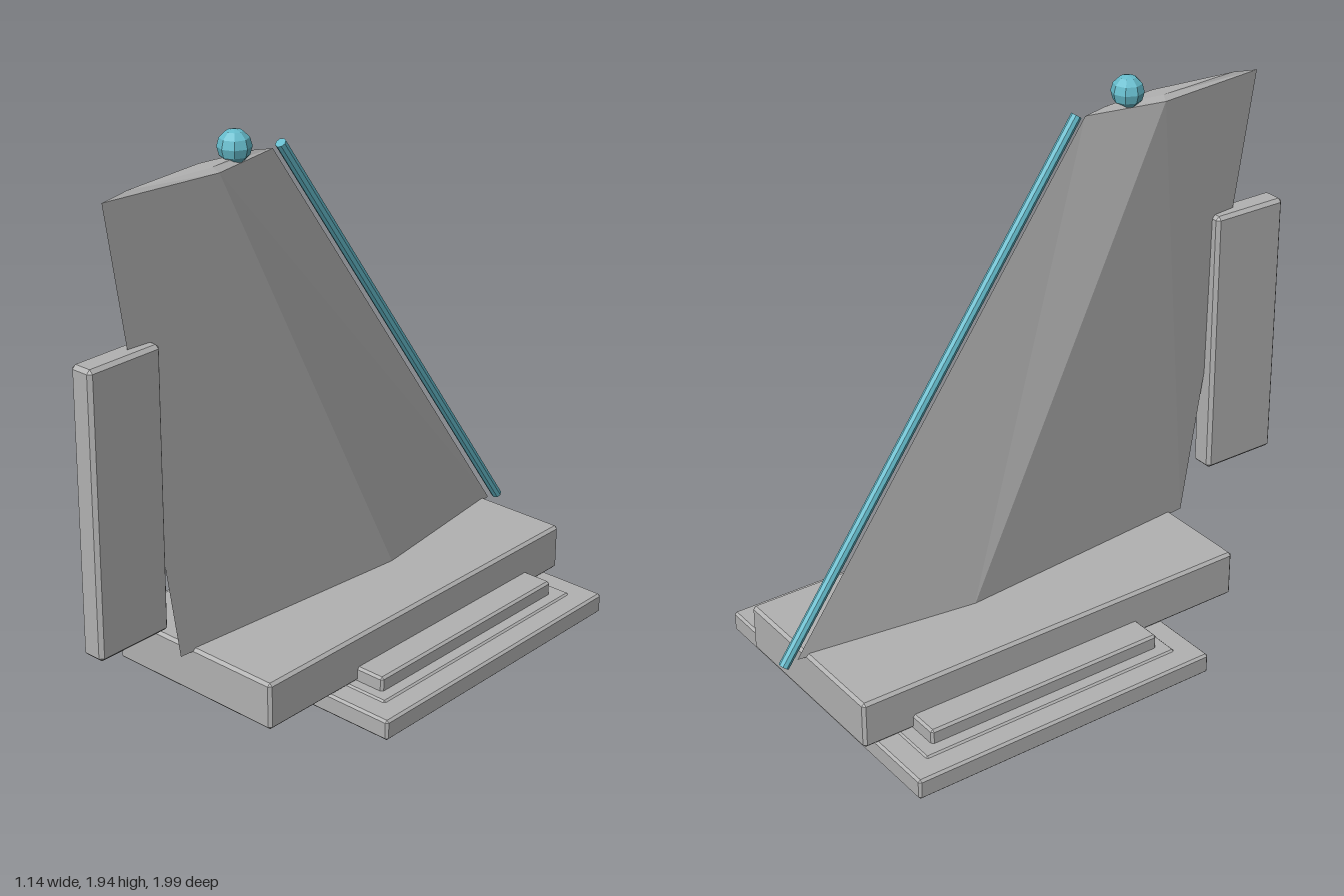
import * as THREE from 'three';
import { ConvexGeometry } from 'three/addons/geometries/ConvexGeometry.js';

const grey = new THREE.MeshStandardMaterial({ color: 0xb2b2b2 });
grey.name = 'grey metal';
const cyan = new THREE.MeshStandardMaterial({ color: 0x66bccc });
cyan.name = 'cyan glow';

// Box between two corners with narrow chamfered edges
function chamferBox(min, max, c) {
  const points = [];
  const mid = min.map((v, i) => (v + max[i]) / 2);
  const half = min.map((v, i) => (max[i] - v) / 2);
  for (const sx of [-1, 1]) for (const sy of [-1, 1]) for (const sz of [-1, 1]) {
    const s = [sx, sy, sz];
    for (let full = 0; full < 3; full++) {
      points.push(new THREE.Vector3(...s.map((sign, i) =>
        mid[i] + sign * (half[i] - (i === full ? 0 : c)))));
    }
  }
  return new ConvexGeometry(points);
}

// Diamond-section blade lofted through [y, leadZ, trailZ, halfWidth] sections
function bladeGeometry(sections) {
  const rings = sections.map(([y, lead, trail, w]) => {
    const ridge = lead + 0.4 * (trail - lead);
    return [[0, y, lead], [w, y, ridge], [0, y, trail], [-w, y, ridge]];
  });
  const pos = [];
  const quad = (a, b, c, d) => pos.push(...a, ...b, ...c, ...a, ...c, ...d);
  for (let i = 0; i < rings.length - 1; i++) {
    for (let j = 0; j < 4; j++) {
      const k = (j + 1) % 4;
      quad(rings[i][j], rings[i + 1][j], rings[i + 1][k], rings[i][k]);
    }
  }
  const top = rings[rings.length - 1], bottom = rings[0];
  quad(top[0], top[3], top[2], top[1]);
  quad(bottom[0], bottom[1], bottom[2], bottom[3]);
  const g = new THREE.BufferGeometry();
  g.setAttribute('position', new THREE.Float32BufferAttribute(pos, 3));
  g.computeVertexNormals();
  return g;
}

export function createModel() {
  const group = new THREE.Group();
  const add = (name, geometry, material = grey) => {
    const mesh = new THREE.Mesh(geometry, material);
    mesh.name = name;
    group.add(mesh);
    return mesh;
  };

  // Stepped mounting base
  add('basePlate', chamferBox([-0.57, 0.04, -0.85], [0.57, 0.112, 0.29], 0.008));
  add('basePanel', chamferBox([-0.49, 0.032, -0.77], [0.49, 0.118, 0.21], 0.006));
  add('baseStep', chamferBox([-0.445, 0.1, -0.72], [0.445, 0.167, 0.17], 0.008));
  add('rootBlock', chamferBox([-0.34, 0.115, -0.9], [0.34, 0.28, 0.58], 0.01));

  // Four short bolts underneath
  for (const x of [-0.343, 0.343]) for (const z of [0.07, -0.615]) {
    add('bolt', new THREE.CylinderGeometry(0.042, 0.042, 0.05, 12)).position.set(x, 0.025, z);
  }

  // Swept fin with a bevelled tip
  add('fin', bladeGeometry([
    [0.27, -0.93, 0.63, 0.08],
    [1.843, 0.19, 0.89, 0.05],
    [1.857, 0.27, 0.79, 0.028],
  ]));

  // Rudder on the trailing edge
  add('rudder', chamferBox([-0.042, 0.42, 0.715], [0.042, 1.375, 1], 0.012));

  // Light strip along the leading edge
  const low = new THREE.Vector3(0, 0.265, -0.98);
  const high = new THREE.Vector3(0, 1.853, 0.156);
  const along = high.clone().sub(low);
  const strip = add('leadingStrip',
    new THREE.CylinderGeometry(0.018, 0.018, along.length(), 8).toNonIndexed(), cyan);
  strip.geometry.computeVertexNormals();
  strip.position.copy(low).add(high).multiplyScalar(0.5);
  strip.quaternion.setFromUnitVectors(new THREE.Vector3(0, 1, 0), along.normalize());

  // Faceted beacon on the tip
  const ball = new THREE.SphereGeometry(0.054, 8, 6).toNonIndexed();
  ball.computeVertexNormals();
  add('tipBeacon', ball, cyan).position.set(0, 1.888, 0.355);

  return group;
}
